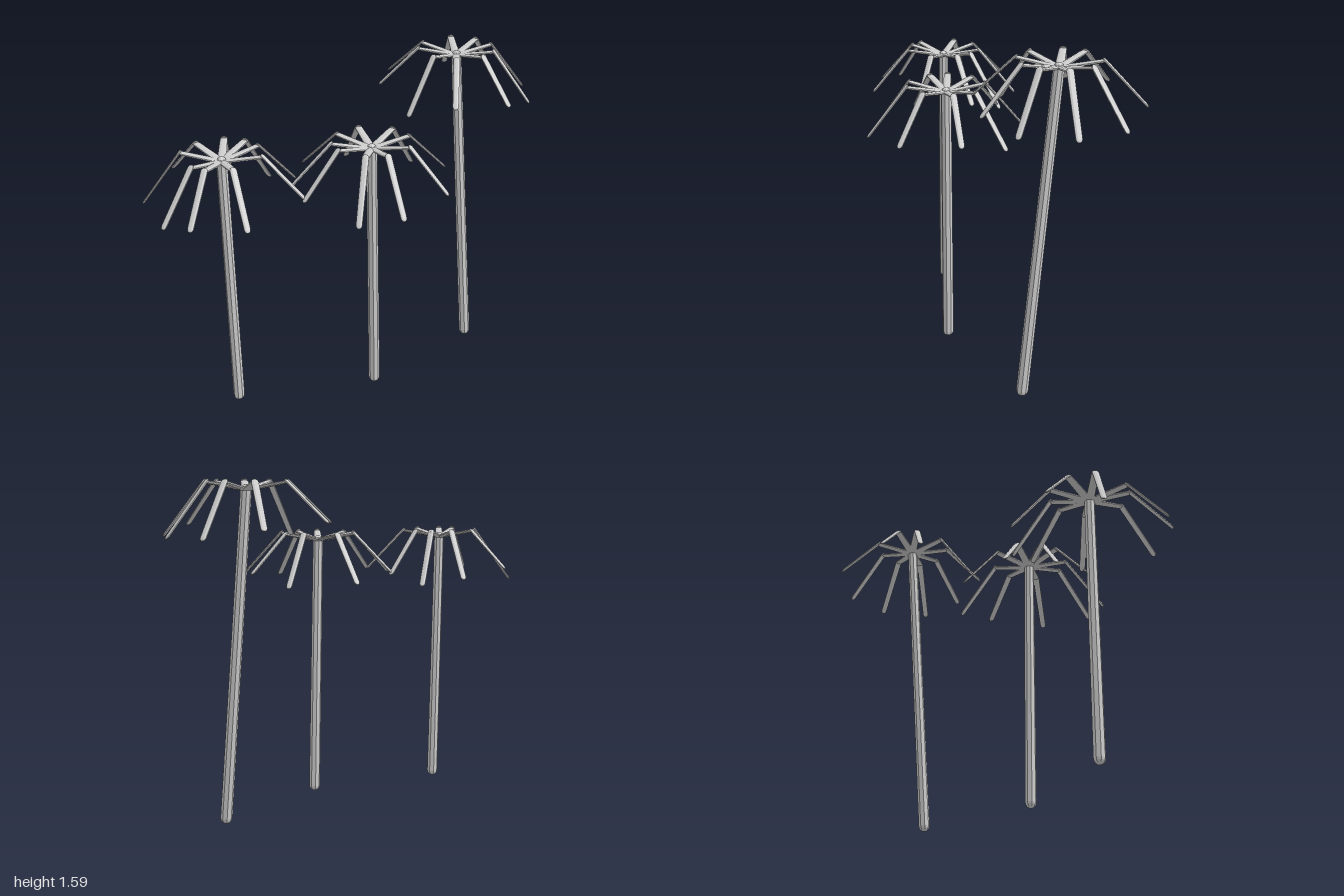
import * as THREE from 'three';

const V = (x, y, z) => new THREE.Vector3(x, y, z);

// base and hub of each trunk; fronds as [heading in degrees, tip height]
const palms = [
  { name: 'rightPalm', base: V(-0.652, 0, 0.078), hub: V(-0.668, 1.285, 0.066),
    fronds: [[90, 1.105], [30, 1.12], [-12, 1.11], [-39, 1.062], [-70.5, 1.095],
      [-113, 1.135], [-152, 1.058], [149.5, 1.095], [128, 1.115]] },
  { name: 'middlePalm', base: V(0.033, 0, 0.185), hub: V(0.012, 1.285, 0.177),
    fronds: [[90, 1.085], [45, 1.115], [0, 1.132], [-36, 1.078], [-87, 1.095],
      [-128, 1.135], [-167, 1.115], [166, 1.115], [121, 1.06]] },
  { name: 'leftPalm', base: V(0.665, 0, -0.043), hub: V(0.619, 1.545, -0.197),
    fronds: [[3, 1.34], [41, 1.338], [73, 1.38], [116, 1.397], [152, 1.328],
      [-159.5, 1.395], [-128, 1.403], [-72, 1.383], [-32.5, 1.342]] },
];

// capsule spanning a to b, tapered from r0 to r1 and flattened across its thickness
function rod(name, a, b, r0, r1, flat, side, material) {
  const dir = b.clone().sub(a);
  const length = dir.length();
  const g = new THREE.CapsuleGeometry(r0, length - 2 * r0, 4, 8);
  g.rotateY(Math.PI / 8);
  const p = g.attributes.position;
  for (let i = 0; i < p.count; i++) {
    const k = THREE.MathUtils.lerp(1, r1 / r0, p.getY(i) / length + 0.5);
    p.setX(i, p.getX(i) * k);
    p.setZ(i, p.getZ(i) * k * flat);
  }
  dir.normalize();
  const x = side.clone().addScaledVector(dir, -side.dot(dir)).normalize();
  const m = new THREE.Matrix4().makeBasis(x, dir, x.clone().cross(dir));
  m.setPosition(a.clone().add(b).multiplyScalar(0.5));
  g.applyMatrix4(m);
  g.computeVertexNormals();
  const mesh = new THREE.Mesh(g, material);
  mesh.name = name;
  return mesh;
}

export function createModel() {
  const model = new THREE.Group();
  model.name = 'palmTrees';
  const grey = new THREE.MeshStandardMaterial({ color: 0xcccccc, flatShading: true });
  grey.name = 'light grey';

  for (const { name, base, hub, fronds } of palms) {
    const palm = new THREE.Group();
    palm.name = name;

    // leaning trunk with rounded ends
    const top = hub.clone().add(V(0, 0.024, 0));
    palm.add(rod('trunk', base, top, 0.028, 0.025, 1, V(1, 0, 0), grey));

    // each frond rises to a knee, then hangs down to its tip
    for (const [degrees, tipY] of fronds) {
      const t = THREE.MathUtils.degToRad(degrees);
      const out = V(Math.cos(t), 0, Math.sin(t));
      const side = V(-out.z, 0, out.x);
      const knee = hub.clone().addScaledVector(out, 0.19).add(V(0, 0.036, 0));
      const tip = hub.clone().addScaledVector(out, 0.38).setY(tipY);
      const frond = new THREE.Group();
      frond.name = 'frond';
      const kneeEnd = knee.clone().addScaledVector(out, 0.008);
      frond.add(rod('innerFrond', hub, kneeEnd, 0.022, 0.018, 0.4, side, grey));
      const start = knee.clone().addScaledVector(tip.clone().sub(knee).normalize(), -0.014);
      frond.add(rod('outerFrond', start, tip, 0.017, 0.015, 0.4, side, grey));
      palm.add(frond);
    }
    model.add(palm);
  }
  return model;
}
